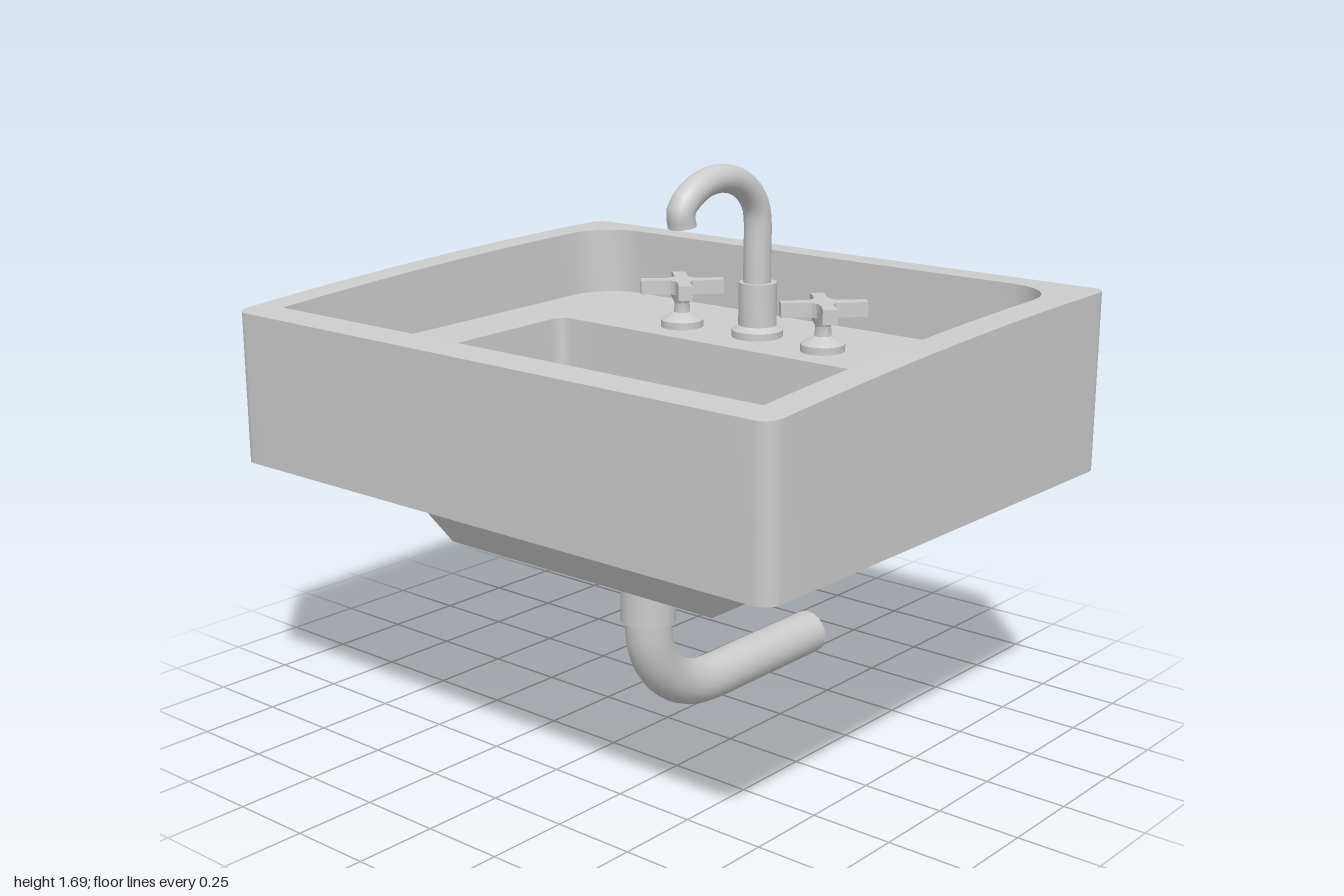
import * as THREE from 'three';
import { toCreasedNormals } from 'three/addons/utils/BufferGeometryUtils.js';

const grey = new THREE.MeshStandardMaterial({ color: 0xcccccc });
const greyOpen = new THREE.MeshStandardMaterial({ color: 0xcccccc, side: THREE.DoubleSide });

function add(parent, name, geometry, x = 0, y = 0, z = 0, material = grey) {
  const mesh = new THREE.Mesh(geometry, material);
  mesh.name = name;
  mesh.position.set(x, y, z);
  parent.add(mesh);
  return mesh;
}

// Rounded rectangle in the xz plane; y is a number or a function of z
function loop(halfX, zBack, zFront, rBack, rFront, y) {
  const corners = [[1, 1], [-1, 1], [-1, -1], [1, -1]];
  const arcs = corners.map(([sx, sz], k) => {
    const r = sz > 0 ? rFront : rBack;
    const cx = sx * (halfX - r);
    const cz = sz > 0 ? zFront - r : zBack + r;
    return Array.from({ length: 7 }, (_, i) => {
      const a = (k + i / 6) * Math.PI / 2;
      return [cx + r * Math.cos(a), cz + r * Math.sin(a)];
    });
  });
  const points = [];
  arcs.forEach((arc, k) => {
    points.push(...arc);
    const from = arc[6], to = arcs[(k + 1) % 4][0];
    for (let i = 1; i < 10; i++) {
      const t = i / 10;
      points.push([from[0] + (to[0] - from[0]) * t, from[1] + (to[1] - from[1]) * t]);
    }
  });
  return points.map(([x, z]) => [x, typeof y === 'function' ? y(z) : y, z]);
}

// Skin through loops of equal point count
function loft(loops) {
  const n = loops[0].length, index = [];
  for (let l = 0; l < loops.length - 1; l++) {
    for (let i = 0; i < n; i++) {
      const j = (i + 1) % n, a = l * n, b = a + n;
      index.push(a + i, b + i, b + j, a + i, b + j, a + j);
    }
  }
  const g = new THREE.BufferGeometry();
  g.setAttribute('position', new THREE.Float32BufferAttribute(loops.flat(2), 3));
  g.setIndex(index);
  return toCreasedNormals(g, 0.5);
}

function lathe(profile, segments = 20) {
  const points = profile.map(([r, y]) => new THREE.Vector2(r, y));
  return toCreasedNormals(new THREE.LatheGeometry(points, segments), 0.6);
}

// Tube through a list of [y, z] points
function pipe(points, radius, segments) {
  const curve = new THREE.CatmullRomCurve3(points.map(([y, z]) => new THREE.Vector3(0, y, z)));
  return new THREE.TubeGeometry(curve, segments, radius, 20);
}

// Quarter or larger arc in the yz plane
function arc(cy, cz, ry, rz, from, to, count) {
  return Array.from({ length: count + 1 }, (_, i) => {
    const a = from + (to - from) * i / count;
    return [cy + ry * Math.sin(a), cz + rz * Math.cos(a)];
  });
}

// Four-armed handle with arms that flare towards their ends
function crossShape() {
  const shape = new THREE.Shape();
  for (let k = 0; k < 4; k++) {
    const a = Math.PI / 4 + k * Math.PI / 2, c = Math.cos(a), s = Math.sin(a);
    const p = (u, v) => [u * c - v * s, u * s + v * c];
    if (k === 0) shape.moveTo(...p(0.132, -0.023));
    else shape.quadraticCurveTo(...p(0.04, -0.014), ...p(0.132, -0.023));
    shape.lineTo(...p(0.132, 0.023));
    shape.quadraticCurveTo(...p(0.04, 0.014), ...p(0.032, 0.032));
  }
  shape.closePath();
  return shape;
}

export function createModel() {
  const model = new THREE.Group();
  model.name = 'sink';

  // Basin: underside, outer wall, sloping rim, inner wall, ledge, bowl
  const rim = z => 1.335 - 0.05 * z - 0.025 * z * z;
  const ledge = z => 1.13 - 0.02 * z;
  add(model, 'basin', loft([
    loop(0, 0, 0, 0, 0, 0.82),
    loop(1, -0.8, 0.8, 0.05, 0.05, 0.82),
    loop(1, -0.8, 0.8, 0.05, 0.05, rim),
    loop(0.9, -0.71, 0.7, 0.16, 0.005, rim),
    loop(0.895, -0.71, 0.7, 0.16, 0.005, ledge),
    loop(0.69, -0.27, 0.49, 0.04, 0.04, ledge),
    loop(0.685, -0.265, 0.485, 0.04, 0.04, 0.9),
    loop(0, 0.1, 0.1, 0, 0, 0.9),
  ]));

  // Tapered underside of the bowl
  add(model, 'bowlUnderside', loft([
    loop(0, 0.09, 0.09, 0, 0, 0.57),
    loop(0.51, -0.23, 0.41, 0, 0, 0.57),
    loop(0.65, -0.37, 0.55, 0, 0, 0.82),
  ]));

  add(model, 'drainPlug', lathe([[0.055, 0], [0.062, 0.012], [0.045, 0.022], [0, 0.024]], 8), -0.005, 0.9, -0.035);

  // Faucet
  const faucet = new THREE.Group();
  faucet.name = 'faucet';
  faucet.position.x = -0.012;
  model.add(faucet);
  add(faucet, 'spoutBase', lathe([[0.08, 0], [0.08, 0.025], [0.06, 0.04], [0.06, 0.175], [0.042, 0.175]]), 0, 1.135, -0.445);
  add(faucet, 'spout', pipe([
    [1.25, -0.44], [1.38, -0.44],
    ...arc(1.5, -0.245, 0.15, 0.195, Math.PI, 0.5, 9), [1.525, -0.08],
  ], 0.043, 32), 0, 0, 0, greyOpen);

  for (const side of [-1, 1]) {
    const handle = new THREE.Group();
    handle.name = side > 0 ? 'leftHandle' : 'rightHandle';
    handle.position.set(side * 0.278, 1.135, -0.41);
    faucet.add(handle);
    add(handle, 'handleStem', lathe([[0.068, 0], [0.068, 0.025], [0.052, 0.035], [0.026, 0.05], [0.024, 0.08], [0.04, 0.11]]));
    const cross = new THREE.ExtrudeGeometry(crossShape(), { depth: 0.045, bevelEnabled: false, curveSegments: 6 });
    cross.rotateX(-Math.PI / 2);
    add(handle, 'handleCross', cross, 0, 0.11, 0);
  }

  // Drain pipe leading to the back
  add(model, 'drainPipe', pipe([
    [0.58, 0.09], [0.45, 0.09],
    ...arc(0.333, -0.2, 0.26, 0.29, 0, -Math.PI / 2, 6),
    [0.073, -0.4], [0.073, -0.73],
  ], 0.072, 40), 0, 0, 0, greyOpen);
  add(model, 'pipeCollar', new THREE.CylinderGeometry(0.084, 0.084, 0.13, 24), 0, 0.415, 0.09);

  return model;
}
